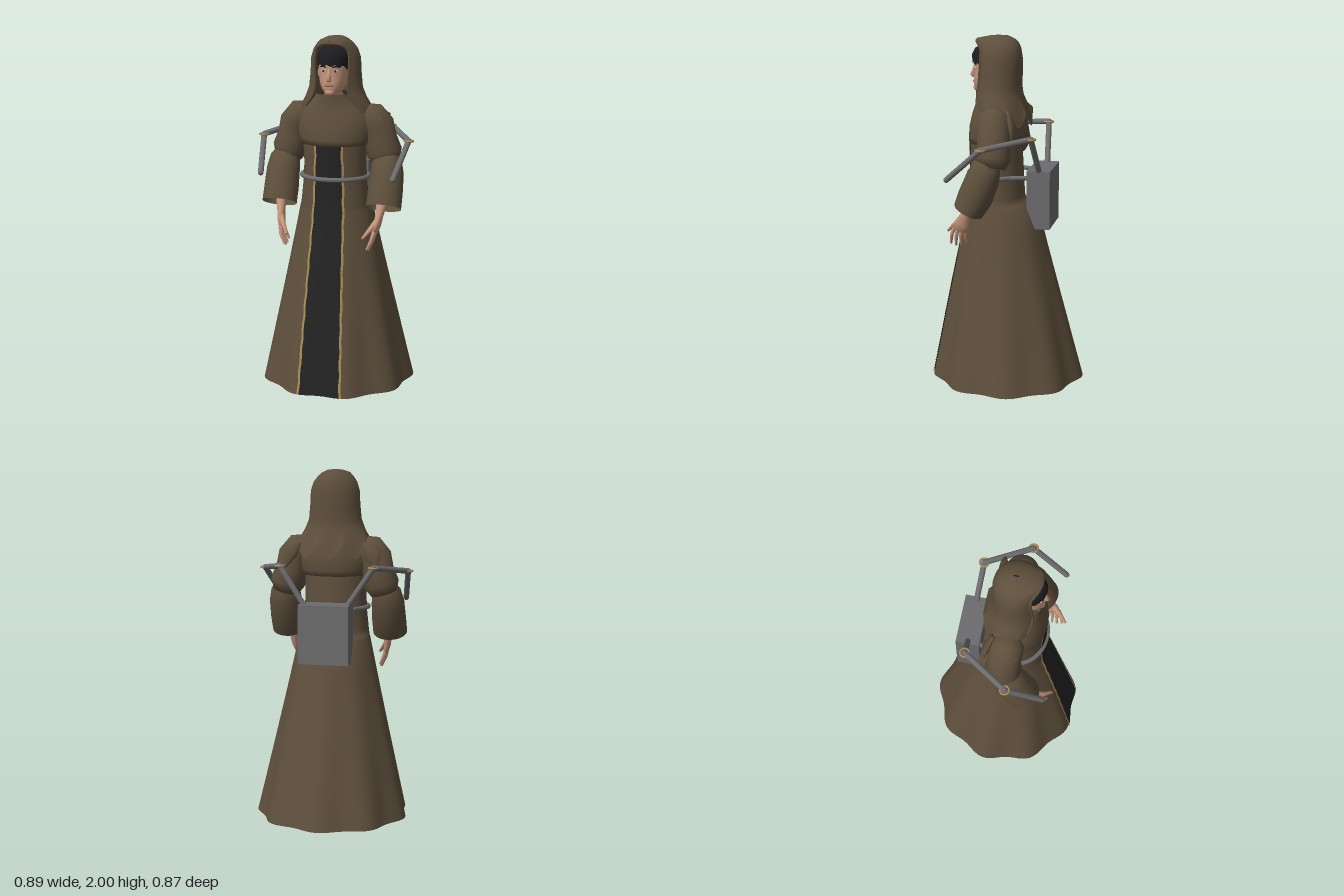
import * as THREE from 'three';

const V = (x, y, z) => new THREE.Vector3(x, y, z);
const mat = (name, color, double) => {
  const m = new THREE.MeshStandardMaterial({ color });
  m.name = name;
  if (double) m.side = THREE.DoubleSide;
  return m;
};

// Surface from a grid of points; fn(row, col) gives each point
function grid(rows, cols, fn, closed) {
  const pos = [], idx = [], n = closed ? cols : cols + 1;
  for (let r = 0; r <= rows; r++) for (let c = 0; c < n; c++) pos.push(...fn(r, c).toArray());
  for (let r = 0; r < rows; r++) for (let c = 0; c < cols; c++) {
    const a = r * n + c, b = r * n + (c + 1) % n;
    idx.push(a, a + n, b, b, a + n, b + n);
  }
  const g = new THREE.BufferGeometry();
  g.setAttribute('position', new THREE.Float32BufferAttribute(pos, 3));
  g.setIndex(idx);
  g.computeVertexNormals();
  return g;
}

// Ring rows are [y, zFront, zBack, halfWidth]; angle 0 faces the front
const ring = ([y, zf, zb, rx], a) =>
  V(rx * Math.sin(a), y, (zf + zb) / 2 + (zf - zb) / 2 * Math.cos(a));
const loft = (rows, n = 40) =>
  grid(rows.length - 1, n, (r, c) => ring(rows[r], c / n * Math.PI * 2), true);

// Rounded limb through points with [width, depth] radii
function limb(pts, radii, capped = true, n = 20) {
  const rows = pts.map((p, i) => ({ p, r: [].concat(radii[i]), t: pts[Math.min(i + 1, pts.length - 1)].clone().sub(pts[Math.max(i - 1, 0)]).normalize() }));
  if (capped) {
    rows.unshift({ ...rows[0], r: [0] });
    rows.push({ ...rows[rows.length - 1], r: [0] });
  }
  return grid(rows.length - 1, n, (i, c) => {
    const { p, r, t } = rows[i], a = c / n * Math.PI * 2;
    const s = V(1, 0, 0).addScaledVector(t, -t.x).normalize();
    const u = s.clone().cross(t);
    return p.clone().addScaledVector(s, r[0] * Math.cos(a)).addScaledVector(u, (r[1] ?? r[0]) * Math.sin(a));
  }, true);
}

// Robe profile, top to hem, with a step at the back of the waist
const ROBE = [
  [1.43, .215, -.07, .18], [1.3, .215, -.08, .175], [1.2, .215, -.085, .18], [1.1, .222, -.09, .19],
  [1.06, .226, -.1, .196], [1.05, .228, -.16, .205], [.8, .28, -.225, .258], [.4, .357, -.33, .345], [.03, .425, -.425, .425],
];
function robeRow(y) {
  let i = 0;
  while (i < ROBE.length - 2 && y < ROBE[i + 1][0]) i++;
  const t = (y - ROBE[i][0]) / (ROBE[i + 1][0] - ROBE[i][0]);
  return ROBE[i].map((v, k) => v + (ROBE[i + 1][k] - v) * t);
}
function robePoint(y, a) {
  const p = ring(robeRow(y), a), k = 1 - .035 * Math.max(0, (1.05 - y) / 1.02) * Math.cos(9 * a);
  return V(p.x * k, y, p.z * k);
}
// Thin strip lying on the robe front between x0(y) and x1(y)
function robeStrip(x0, x1, lift, cols) {
  return grid(60, cols, (r, c) => {
    const y = 1.415 - r / 60 * 1.383, x = x0(y) + (x1(y) - x0(y)) * c / cols;
    const p = robePoint(y, Math.asin(x / robeRow(y)[3]));
    return p.setZ(p.z + lift);
  });
}

export function createModel() {
  const root = new THREE.Group();
  const cloth = mat('brownCloth', 0x5e4f3c, true), black = mat('blackCloth', 0x232324, true);
  const gold = mat('gold', 0xa88a55, true), grey = mat('greyMetal', 0x6c6c6e);
  const skin = mat('skin', 0xc4957c), hair = mat('hair', 0x1d1d20, true);
  const white = mat('eyeWhite', 0xd8d2c8), lip = mat('lips', 0xa06c5c);
  const add = (name, geo, m, parent = root) => {
    const mesh = new THREE.Mesh(geo, m);
    mesh.name = name;
    parent.add(mesh);
    return mesh;
  };
  const blob = (name, m, x, y, z, sx, sy, sz) => {
    const b = add(name, new THREE.SphereGeometry(1, 16, 12), m);
    b.position.set(x, y, z);
    b.scale.set(sx, sy, sz);
  };

  // Robe, front panel and trim
  const ys = [...ROBE.map(r => r[0]), .9, .65, .5, .25, .12].sort((a, b) => b - a);
  add('robe', grid(ys.length - 1, 108, (r, c) => robePoint(ys[r], c / 108 * Math.PI * 2), true), cloth);
  const half = y => .07 + (1.41 - y) * .031;
  add('frontPanel', robeStrip(y => -half(y), half, .005, 12), black);
  for (const s of [1, -1]) {
    const edge = y => s * (half(y) + .005 + .002 * Math.sin(y * 50));
    add('panelTrim', robeStrip(y => edge(y) - .006, y => edge(y) + .006, .007, 2), gold);
  }

  // Mantle over chest and shoulders
  add('mantle', loft([
    [1.69, .185, -.01, .1], [1.66, .185, -.04, .115], [1.62, .185, -.075, .165], [1.57, .2, -.095, .205],
    [1.5, .217, -.105, .215], [1.44, .222, -.1, .205], [1.41, .222, -.092, .193], [1.415, .2, -.07, .17],
  ]), cloth);

  // Hood: last value of each row is half the angle of the face opening
  const hood = [
    [2, .06, .03, .004, 0], [1.995, .11, -.005, .045, 0], [1.98, .18, -.035, .078, 0], [1.962, .182, -.055, .098, .55],
    [1.93, .175, -.068, .122, .8], [1.88, .175, -.076, .138, .8], [1.8, .176, -.077, .142, .75], [1.72, .178, -.074, .15, .68],
    [1.67, .18, -.08, .17, .72], [1.62, .185, -.1, .198, .85], [1.56, .175, -.125, .222, 1.05],
  ];
  const hoodPoint = (r, t) => {
    const a = hood[r][4], ang = a + (2 * Math.PI - 2 * a) * t, p = ring(hood[r], ang);
    if (r === hood.length - 1) p.y -= .075 * Math.abs(Math.sin(ang * 4.5)) - .025;
    return p;
  };
  add('hood', grid(hood.length - 1, 72, (r, c) => hoodPoint(r, c / 72)), cloth);
  const rim = [];
  for (let r = 9; r >= 3; r--) rim.push(hoodPoint(r, 0));
  rim.push(V(0, 1.968, .178));
  for (let r = 3; r <= 9; r++) rim.push(hoodPoint(r, 1));
  add('hoodRim', new THREE.TubeGeometry(new THREE.CatmullRomCurve3(rim), 60, .008, 8), cloth);

  // Head, face and hair
  add('head', loft([
    [1.955, .09, .07, .005], [1.94, .13, .03, .045], [1.91, .172, 0, .073], [1.87, .192, -.01, .084], [1.835, .196, -.01, .084],
    [1.815, .192, -.005, .082], [1.77, .196, 0, .077], [1.74, .197, .01, .07], [1.715, .197, .02, .058],
    [1.695, .192, .03, .042], [1.685, .165, .03, .052], [1.6, .13, .01, .055],
  ]), skin);
  const hairRows = [[1.962, .09, .07, .005], [1.95, .15, .02, .05], [1.925, .19, -.01, .077], [1.89, .208, -.02, .09], [1.85, .203, -.02, .09]];
  add('hair', grid(4, 48, (r, c) => {
    const a = c / 48 * Math.PI * 2, p = ring(hairRows[r], a);
    if (r === 4) p.y -= .045 * (1 - Math.abs(Math.cos(a))) ** 2 + .006 * Math.sin(a * 12);
    return p;
  }, true), hair);
  add('nose', limb([V(0, 1.835, .19), V(0, 1.8, .2), V(0, 1.778, .206), V(0, 1.768, .196)], [.007, .01, .015, .011]), skin);
  blob('mouth', lip, 0, 1.742, .194, .025, .008, .008);
  blob('chin', skin, 0, 1.705, .184, .026, .018, .016);
  for (const s of [1, -1]) {
    blob('eyeWhite', white, s * .034, 1.82, .18, .014, .007, .008);
    blob('iris', hair, s * .034, 1.82, .185, .006, .006, .005);
    add('eyebrow', limb([V(s * .016, 1.841, .194), V(s * .036, 1.847, .187), V(s * .056, 1.841, .172)], [.003, .005, .003]), hair);
    blob('ear', skin, s * .084, 1.8, .085, .01, .03, .018);
  }

  for (const s of [1, -1]) {
    const P = (x, y, z) => V(s * x, y, z);
    // Sleeves
    add('upperSleeve', limb([P(.15, 1.575, .045), P(.2, 1.555, .04), P(.235, 1.51, .035), P(.25, 1.44, .03), P(.272, 1.36, .03), P(.285, 1.31, .035)],
      [.06, .088, .093, .09, .1, .075], true, 28), cloth);
    add('lowerSleeve', limb([P(.29, 1.345, .04), P(.295, 1.31, .06), P(.3, 1.25, .08), P(.3, 1.15, .12), P(.3, 1.07, .16)],
      [.06, .083, .093, .097, [.098, .085]], false, 28), cloth);
    // Shoulder folds
    for (const [z, y] of [[.1, 1.5], [-.07, 1.5]])
      add('shoulderFold', limb([P(.19, 1.6, z * .6), P(.24, y + .04, z), P(.262, y - .05, z * 1.1)], [[.02, .01], [.05, .02], [.004, .004]]), cloth);
    // Forearm and hand
    add('forearm', limb([P(.295, 1.22, .1), P(.288, 1.08, .165), P(.282, 1.03, .185), P(.276, .985, .205), P(.266, .945, .222)],
      [.035, .028, [.022, .03], [.02, .042], [.015, .04]]), skin);
    for (let i = 0; i < 4; i++) {
      const z = .252 - i * .021, drop = [.01, 0, .005, .02][i];
      add('finger', limb([P(.268, .955, z), P(.258, .9 + drop, z + .017 - i * .005), P(.235, .848 + drop, z + .026 - i * .008)], [.011, .01, .006], true, 10), skin);
    }
    add('thumb', limb([P(.276, 1.01, .21), P(.25, .97, .255), P(.215, .925, .3)], [.016, .014, .007], true, 10), skin);
    // Leg and bare foot
    add('leg', limb([P(.12, .85, .02), P(.15, .5, .03), P(.18, .3, .015), P(.198, .1, .025), P(.2, .04, .03)],
      [.075, .055, .052, .031, .034]), skin);
    add('foot', limb([P(.2, .03, -.018), P(.2, .036, .01), P(.205, .04, .06), P(.213, .03, .13), P(.22, .02, .195)],
      [[.022, .02], [.034, .034], [.036, .039], [.043, .029], [.046, .018]]), skin);
    for (let i = 0; i < 5; i++)
      blob('toe', skin, s * (.187 + i * .0175), .014, .228 - i * .009, i ? .01 : .014, .0135, .026);

    // Jointed mechanical arm
    const joints = [P(.115, 1.25, -.2), P(.265, 1.475, -.18), P(.417, 1.435, .065), P(.374, 1.255, .264)];
    const arm = new THREE.Group();
    arm.name = s > 0 ? 'leftMechanicalArm' : 'rightMechanicalArm';
    root.add(arm);
    for (let i = 0; i < 3; i++) {
      const d = joints[i + 1].clone().sub(joints[i]), len = d.length();
      const rod = add('armRod', new THREE.CapsuleGeometry(.016, len, 6, 14), grey, arm);
      rod.position.copy(joints[i]).addScaledVector(d, .5);
      rod.quaternion.setFromUnitVectors(V(0, 1, 0), d.normalize());
      if (i < 2) {
        const jointRing = add('jointRing', new THREE.TorusGeometry(.024, .006, 8, 24).rotateX(Math.PI / 2), gold, arm);
        jointRing.position.copy(joints[i + 1]);
      }
    }
  }

  // Back box with a chamfered lower front, extruded across x
  const side = new THREE.Shape([[.132, 1.27], [.132, 1.06], [.18, .94], [.263, .94], [.263, 1.27]].map(p => new THREE.Vector2(...p)));
  add('backBox', new THREE.ExtrudeGeometry(side, { depth: .284, bevelEnabled: false }).rotateY(Math.PI / 2).translate(-.142, 0, 0), grey);

  // Belt running round the waist to the box
  const belt = [V(-.11, 1.225, -.15)];
  for (let i = -10; i <= 10; i++) {
    const p = ring(robeRow(1.22), i / 10 * 2.2);
    belt.push(V(p.x * 1.05, 1.225, p.z + .008 * Math.cos(i * .22)));
  }
  belt.push(V(.11, 1.225, -.15));
  add('belt', new THREE.TubeGeometry(new THREE.CatmullRomCurve3(belt), 90, .013, 10), grey);

  return root;
}
